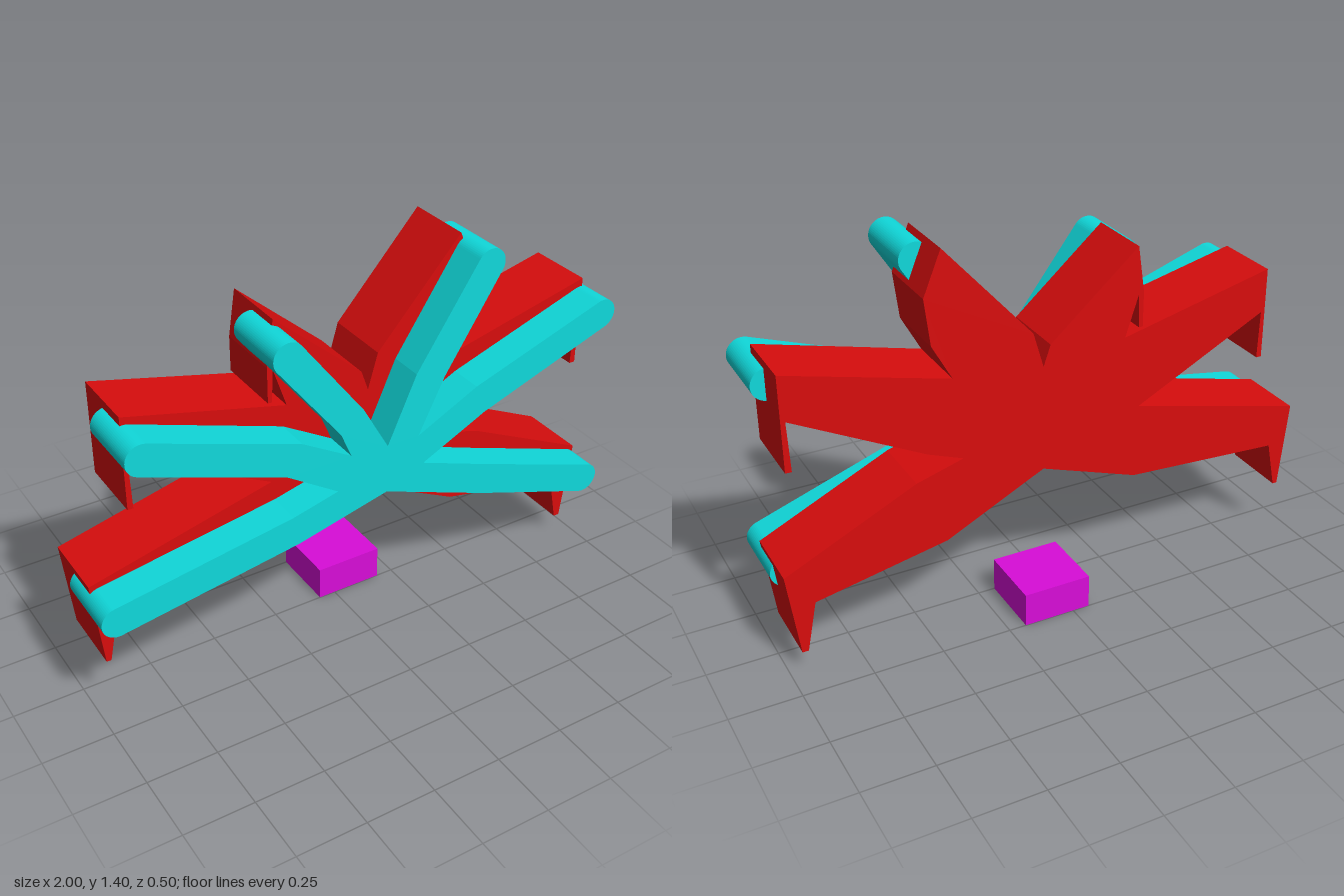
import * as THREE from 'three';

const rad = THREE.MathUtils.degToRad;

function material(name, color) {
  const m = new THREE.MeshStandardMaterial({ color });
  m.name = name;
  return m;
}

// Extruded slab from z0 to z1
function slab(name, shape, z0, z1, mat) {
  const geo = new THREE.ExtrudeGeometry(shape, {
    depth: z1 - z0, bevelEnabled: false, curveSegments: 14,
  });
  geo.translate(0, 0, z0);
  const mesh = new THREE.Mesh(geo, mat);
  mesh.name = name;
  return mesh;
}

export function createModel() {
  const group = new THREE.Group();
  const red = material('red', 0xd80d0d);
  const cyan = material('cyan', 0x10d9db);
  const magenta = material('magenta', 0xd80dd8);

  // Angular body with six arms, most ending in a thin downward claw
  const outline = [
    // lower left arm
    [-0.985, 0.516], [-0.32, 0.68],
    // upper left arm
    [-0.815, 0.933], [-0.81, 0.757], [-0.83, 0.757], [-0.83, 1.094], [-0.257, 0.955],
    // inner left arm
    [-0.305, 1.1], [-0.31, 0.982], [-0.325, 0.982], [-0.325, 1.11], [-0.3, 1.276],
    [0.027, 0.992], [0.053, 0.917], [0.09, 1.045],
    // inner right arm
    [0.406, 1.398], [0.47, 1.243], [0.45, 1.078], [0.38, 0.95],
    // upper right arm
    [0.952, 1.094], [0.952, 0.757], [0.93, 0.757], [0.936, 0.933], [0.476, 0.698],
    [0.35, 0.65], [0.52, 0.6],
    // lower right arm
    [0.99, 0.377], [0.952, 0.072], [0.93, 0.072], [0.893, 0.254], [0.417, 0.35],
    [0.053, 0.53],
    // underside and claw of the lower left arm
    [-0.31, 0.404], [-0.9, 0.37], [-0.935, 0.195], [-0.952, 0.195],
  ];
  const bodyShape = new THREE.Shape(outline.map(([x, y]) => new THREE.Vector2(x, y)));
  group.add(slab('clawedBody', bodyShape, -0.125, 0.125, red));

  // Round-ended arms: elbow before, tip centre, direction in degrees, elbow after, valley
  const arms = [
    { before: [-0.29, 0.495], tip: [-0.945, 0.447], dir: 189, after: [-0.31, 0.607], valley: [-0.14, 0.65] },
    { before: [-0.33, 0.773], tip: [-0.82, 1.008], dir: 160.7, after: [-0.273, 0.88], valley: [-0.09, 0.773] },
    { before: [-0.128, 0.864], tip: [-0.315, 1.2], dir: 127, after: [-0.043, 0.933], valley: [0.053, 0.762] },
    { before: [0.16, 1.003], tip: [0.44, 1.326], dir: 57, after: [0.273, 0.96], valley: [0.176, 0.762] },
    { before: [0.41, 0.88], tip: [0.944, 1.008], dir: 19.3, after: [0.45, 0.768], valley: [0.2, 0.645] },
    { before: [0.476, 0.543], tip: [0.944, 0.318], dir: -19, after: [0.46, 0.425], valley: [0.053, 0.58] },
  ];
  const armShape = new THREE.Shape();
  armShape.moveTo(0.053, 0.58);
  for (const { before, tip, dir, after, valley } of arms) {
    armShape.lineTo(...before);
    armShape.absarc(...tip, 0.056, rad(dir + 90), rad(dir - 90), true);
    armShape.lineTo(...after);
    armShape.lineTo(...valley);
  }
  group.add(slab('roundedArms', armShape, 0, 0.25, cyan));

  // Loose block below the body
  const block = new THREE.Mesh(new THREE.BoxGeometry(0.25, 0.125, 0.25), magenta);
  block.name = 'block';
  block.position.set(0.0625, 0.0625, -0.125);
  group.add(block);

  return group;
}
